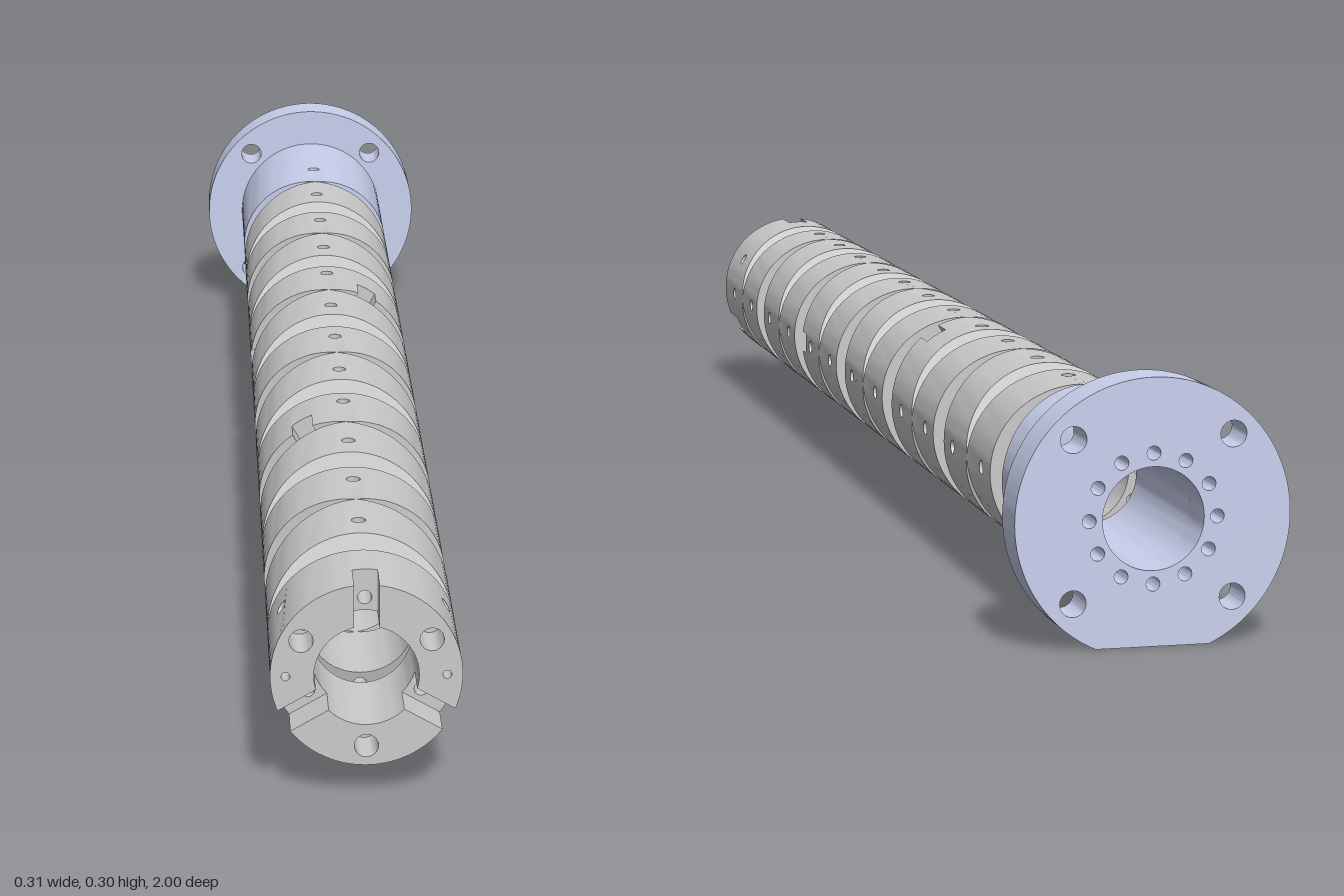
import * as THREE from 'three';
import { mergeGeometries, toCreasedNormals } from 'three/addons/utils/BufferGeometryUtils.js';

const R = 0.106, RI = 0.058;          // outer and bore radius
const W = 0.014;                      // half width of the twelve key strips
const TENDON = [0.073, 0.008];        // tendon hole: distance from axis, radius
const RADIAL_R = 0.0085, RADIAL_FLOOR = 0.083;
const AXIS_Y = 0.143, PITCH = 0.1433, SLOPE = 0.262;
const STEPS = [-1, -0.5, 0, 0.5, 1];

const jointZ = (k) => 0.86 - PITCH * k;
// Bevelled end faces; pivots alternate between horizontal and vertical
const bevel = (k, s) => (x, y) => jointZ(k) + s * SLOPE * Math.abs(k % 2 ? x : y);
const flat = (z) => () => z;
const arcX = (r, t) => Math.sqrt(r * r - t * t);

function circle(cx, cy, r, n = 14) {
  return Array.from({ length: n }, (_, i) => {
    const a = (i / n) * Math.PI * 2;
    return new THREE.Vector2(cx + r * Math.cos(a), cy + r * Math.sin(a));
  });
}
const shapeOf = (pts, ...holes) => {
  const s = new THREE.Shape(pts);
  holes.forEach((h) => s.holes.push(new THREE.Path(h)));
  return new THREE.ShapeGeometry(s);
};
const grid = (n) => new THREE.PlaneGeometry(1, 1, n, 1).translate(0.5, 0.5, 0);

// Maps a flat (u, v) patch into space; flip reverses its facing
function patch(geo, map, flip = false) {
  const p = geo.attributes.position;
  for (let i = 0; i < p.count; i++) p.setXYZ(i, ...map(p.getX(i), p.getY(i)));
  const g = geo.toNonIndexed();
  g.deleteAttribute('normal');
  g.deleteAttribute('uv');
  if (flip) {
    const a = g.attributes.position.array;
    for (let i = 0; i < a.length; i += 9) {
      for (let c = 0; c < 3; c++) [a[i + c], a[i + 3 + c]] = [a[i + 3 + c], a[i + c]];
    }
  }
  return g;
}

// One vertebra. keys[i] describes the strip at 30*i degrees:
// front / back: axial hole [distance, radius]; floor: step between them;
// radial: z of a set-screw hole; notch: z of a slot floor
function vertebra(front, back, keys) {
  const out = [];
  for (let i = 0; i < 12; i++) {
    const key = keys[i] || {};
    const th = (i * Math.PI) / 6;
    const at = (a, b) => [a * Math.cos(th) - b * Math.sin(th), a * Math.sin(th) + b * Math.cos(th)];
    const on = (f) => (a, b) => { const [x, y] = at(a, b); return [x, y, f(x, y)]; };
    const keyFront = key.notch !== undefined ? flat(key.notch) : front;
    const edge = (f, t) => f(...at(arcX(R, t), t));

    // End faces of the key strip, in halves so the bevel crease stays sharp
    for (const [f, hole, isBack] of [[keyFront, key.front, false], [back, key.back, true]]) {
      for (const s of [1, -1]) {
        const pts = [0, 0.5, 1].map((q) => [arcX(RI, q * W), q * W]);
        [1, 0.5, 0].forEach((q) => pts.push([arcX(R, q * W), q * W]));
        for (let j = 0; hole && j <= 7; j++) {
          const a = (j / 7) * Math.PI;
          pts.push([hole[0] + hole[1] * Math.cos(a), hole[1] * Math.sin(a)]);
        }
        out.push(patch(shapeOf(pts.map(([a, b]) => new THREE.Vector2(a, s * b))), on(f), isBack));
      }
    }

    // Outer wall of the key strip, pierced by the set-screw hole
    const rim = [
      ...STEPS.map((q) => new THREE.Vector2(q * W, edge(back, q * W))),
      ...[...STEPS].reverse().map((q) => new THREE.Vector2(q * W, edge(keyFront, q * W))),
    ];
    const hasRadial = key.radial !== undefined;
    const screw = hasRadial ? [circle(0, key.radial, RADIAL_R)] : [];
    out.push(patch(shapeOf(rim, ...screw), (t, z) => [...at(arcX(R, t), t), z]));
    if (hasRadial) {
      out.push(patch(grid(14), (u, v) => {
        const t = RADIAL_R * Math.cos(u * 2 * Math.PI);
        const a = v < 0.5 ? RADIAL_FLOOR : arcX(R, t);
        return [...at(a, t), key.radial + RADIAL_R * Math.sin(u * 2 * Math.PI)];
      }, true));
      out.push(patch(shapeOf(screw[0]), (t, z) => [...at(RADIAL_FLOOR, t), z]));
    }

    // Bore wall of the key strip
    out.push(patch(grid(4), (u, v) => {
      const [x, y] = at(arcX(RI, (2 * u - 1) * W), (2 * u - 1) * W);
      return [x, y, v < 0.5 ? back(x, y) : keyFront(x, y)];
    }, true));

    // Axial holes
    const tube = ([c, h], f0, f1) => out.push(patch(grid(14), (u, v) => {
      const a = u * 2 * Math.PI;
      return on(v < 0.5 ? f0 : f1)(c + h * Math.cos(a), h * Math.sin(a));
    }, true));
    if (key.floor !== undefined) {
      tube(key.back, back, flat(key.floor));
      tube(key.front, flat(key.floor), keyFront);
      out.push(patch(shapeOf(circle(key.front[0], 0, key.front[1]), circle(0.077, 0, 0.006)), on(flat(key.floor))));
    } else if (key.front) tube(key.front, back, keyFront);

    // Slot sides
    if (key.notch !== undefined) {
      for (const s of [1, -1]) {
        out.push(patch(grid(1), (u, v) => {
          const p = on(front)(u < 0.5 ? arcX(RI, W) : arcX(R, W), s * W);
          return v < 0.5 ? [p[0], p[1], key.notch] : p;
        }, s < 0));
      }
    }

    // Plain wedge between this key strip and the next
    const polar = (r, q) => {
      const k = Math.asin(W / r);
      const a = th + k + q * (Math.PI / 6 - 2 * k);
      return [r * Math.cos(a), r * Math.sin(a)];
    };
    for (const [f, isBack] of [[front, false], [back, true]]) {
      out.push(patch(grid(4), (u, v) => {
        const [x, y] = polar(v < 0.5 ? R : RI, u);
        return [x, y, f(x, y)];
      }, isBack));
    }
    for (const r of [R, RI]) {
      out.push(patch(grid(4), (u, v) => {
        const [x, y] = polar(r, u);
        return [x, y, v < 0.5 ? back(x, y) : front(x, y)];
      }, r === RI));
    }
  }
  return toCreasedNormals(mergeGeometries(out), 0.5);
}

const drilled = (indices) => {
  const keys = Array.from({ length: 12 }, () => ({}));
  indices.forEach((i) => Object.assign(keys[i], { front: TENDON, back: TENDON }));
  return keys;
};

export function createModel() {
  const group = new THREE.Group();
  const grey = new THREE.MeshStandardMaterial({ color: 0xcccccc });
  const blue = new THREE.MeshStandardMaterial({ color: 0xcad1ee });
  const add = (name, geo, mat) => {
    const m = new THREE.Mesh(geo, mat);
    m.name = name;
    m.position.y = AXIS_Y;
    group.add(m);
  };

  // Tendon sets that end at the tip, the middle and the rear section
  const tipSet = [1, 3, 5, 7, 9, 11], midSet = [0, 4, 8], rearSet = [2, 6, 10];

  // Tip with three slots and three counterbores
  const tip = drilled(tipSet);
  [3, 7, 11].forEach((i) => { tip[i].notch = 0.95; });
  [1, 5, 9].forEach((i) => Object.assign(tip[i], { front: [0.083, 0.0135], floor: 0.945, radial: 0.925 }));
  [0, 6].forEach((i) => { tip[i] = { front: [0.089, 0.005], back: [0.089, 0.005], radial: 0.925 }; });
  add('tip', vertebra(flat(1), bevel(0, 1), tip), grey);

  // Eleven vertebrae; the fourth and eighth carry the anchor notches
  for (let j = 0; j < 11; j++) {
    const keys = drilled([...tipSet, ...(j >= 3 ? midSet : []), ...(j >= 7 ? rearSet : [])]);
    const anchors = j === 3 ? midSet : j === 7 ? rearSet : [];
    anchors.forEach((i) => { keys[i].notch = jointZ(j) - 0.052; });
    const z = jointZ(j + 0.5) - (anchors.length ? 0.011 : 0);
    [0, 3, 6, 9].forEach((i) => { keys[i].radial = z; });
    add('vertebra' + (j + 1), vertebra(bevel(j, -1), bevel(j + 1, 1), keys), grey);
  }

  // Base sleeve
  const base = drilled([...tipSet, ...midSet, ...rearSet]);
  [3, 9].forEach((i) => { base[i].radial = -0.79; });
  add('baseSleeve', vertebra(bevel(11, -1), flat(-0.945), base), blue);

  // Mounting flange with a flat bottom, bolt holes and tendon holes
  const a0 = Math.asin(-AXIS_Y / 0.157);
  const plate = new THREE.Shape();
  plate.absarc(0, 0, 0.157, a0, Math.PI - a0, false);
  plate.closePath();
  const hole = (x, y, r, n) => plate.holes.push(new THREE.Path(circle(x, y, r, n)));
  hole(0, 0, RI, 48);
  for (const x of [-0.091, 0.091]) for (const y of [-0.091, 0.091]) hole(x, y, 0.015, 24);
  for (let i = 0; i < 12; i++) {
    const a = (i * Math.PI) / 6;
    hole(TENDON[0] * Math.cos(a), TENDON[0] * Math.sin(a), TENDON[1], 14);
  }
  const flange = new THREE.ExtrudeGeometry(plate, { depth: 0.055, bevelEnabled: false, curveSegments: 72 });
  flange.translate(0, 0, -1);
  add('flange', toCreasedNormals(flange, 0.5), blue);
  return group;
}
